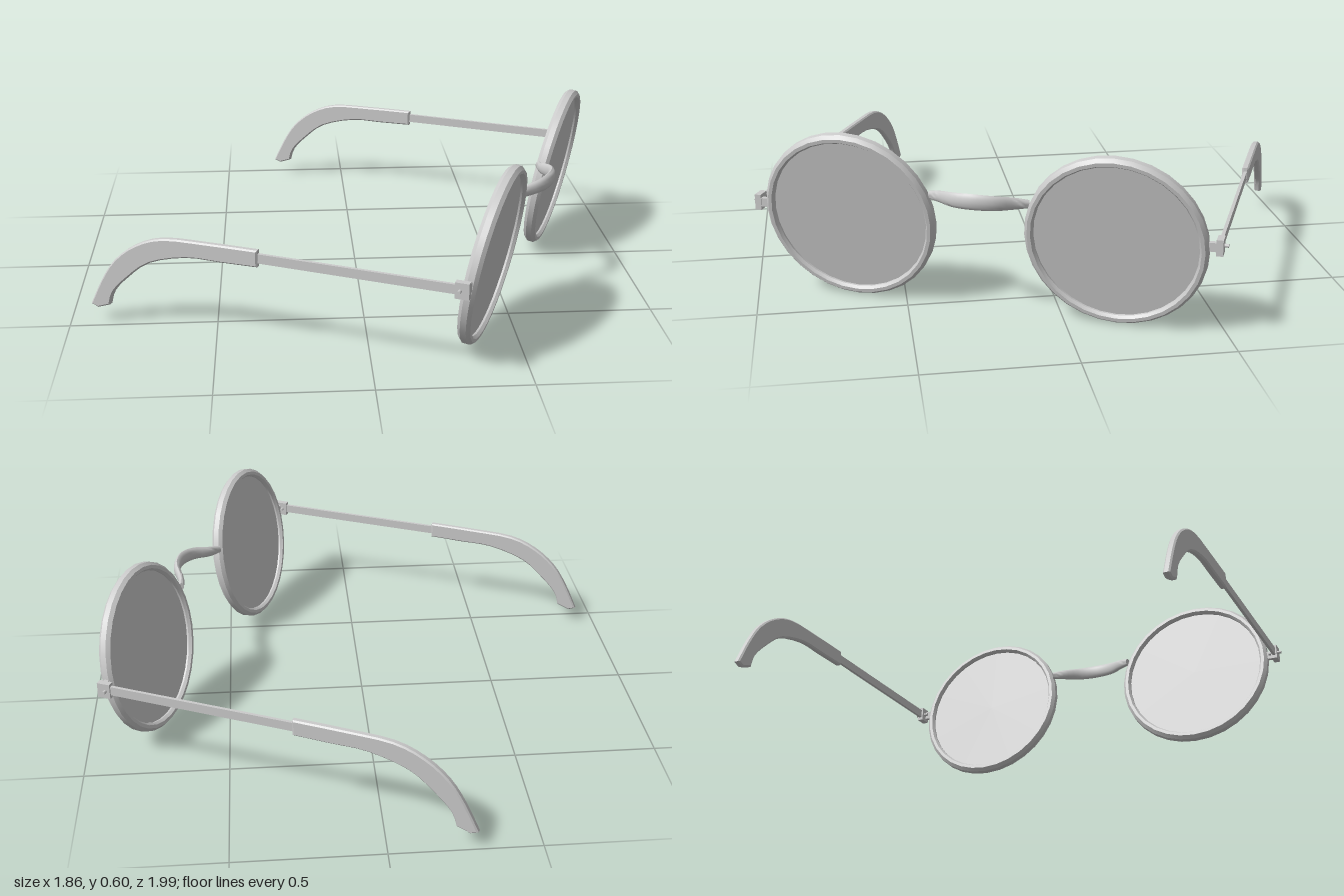
import * as THREE from 'three';
import { toCreasedNormals } from 'three/addons/utils/BufferGeometryUtils.js';

const material = new THREE.MeshStandardMaterial({ color: 0xcccccc });

function addMesh(parent, name, geometry, x = 0, y = 0, z = 0) {
  const mesh = new THREE.Mesh(geometry, material);
  mesh.name = name;
  mesh.position.set(x, y, z);
  parent.add(mesh);
  return mesh;
}

// Round bevelled rim with a thin lens set in it, leaning forward at the top
function createEye(side) {
  const eye = new THREE.Group();
  eye.name = side > 0 ? 'leftEyepiece' : 'rightEyepiece';
  const profile = [
    [0.274, -0.012], [0.281, -0.022], [0.293, -0.022], [0.304, -0.01],
    [0.304, 0.01], [0.293, 0.022], [0.281, 0.022], [0.274, 0.012], [0.274, -0.012],
  ].map(([r, h]) => new THREE.Vector2(r, h));
  const rim = new THREE.LatheGeometry(profile, 32).rotateX(Math.PI / 2);
  addMesh(eye, 'rim', toCreasedNormals(rim, 0.6));
  addMesh(eye, 'lens', new THREE.CylinderGeometry(0.277, 0.277, 0.01, 32).rotateX(Math.PI / 2));
  eye.position.set(side * 0.452, 0.307, 0.647);
  eye.rotation.x = 0.165;
  eye.scale.x = 0.985;
  return eye;
}

// Nose bridge: a flattened bar swept along a forward arch, widest in the middle
function createBridge() {
  const path = new THREE.CatmullRomCurve3([
    [-0.168, 0.408, 0.65], [-0.125, 0.413, 0.672], [-0.07, 0.423, 0.715], [0, 0.428, 0.732],
    [0.07, 0.423, 0.715], [0.125, 0.413, 0.672], [0.168, 0.408, 0.65],
  ].map((p) => new THREE.Vector3(...p)));
  const geometry = new THREE.CylinderGeometry(1, 1, 1, 12, 20);
  const pos = geometry.attributes.position;
  for (let i = 0; i < pos.count; i++) {
    const t = pos.getY(i) + 0.5;
    const c = path.getPoint(t);
    const d = path.getTangent(t);
    const swell = Math.sin(Math.PI * t);
    const a = pos.getX(i) * (0.01 + 0.003 * swell);
    const b = pos.getZ(i) * (0.014 + 0.013 * swell);
    pos.setXYZ(i, c.x - d.z * a, c.y + b, c.z + d.x * a);
  }
  return toCreasedNormals(geometry, 0.9);
}

// Curved ear sleeve: side outline in (z, y), extruded across its thickness
function createSleeve() {
  const upper = [[-0.04, 0.355], [-0.22, 0.353], [-0.38, 0.346], [-0.484, 0.307],
    [-0.564, 0.243], [-0.618, 0.163], [-0.666, 0.066]];
  const lower = [[-0.593, 0.073], [-0.575, 0.124], [-0.52, 0.183], [-0.432, 0.252],
    [-0.296, 0.291], [-0.17, 0.294], [-0.04, 0.297]];
  const smooth = (pts) => new THREE.SplineCurve(pts.map((p) => new THREE.Vector2(...p))).getPoints(18);
  const shape = new THREE.Shape([
    ...smooth(upper), new THREE.Vector2(-0.64, 0.056), ...smooth(lower),
  ]);
  const geometry = new THREE.ExtrudeGeometry(shape, {
    depth: 0.014, bevelEnabled: true, bevelThickness: 0.005, bevelSize: 0.005,
    bevelOffset: -0.005, bevelSegments: 1,
  });
  geometry.translate(0, 0, -0.007).rotateY(-Math.PI / 2);
  return toCreasedNormals(geometry, 0.5);
}

// Hinge, thin rod and ear sleeve of one side
function createTemple(side) {
  const temple = new THREE.Group();
  temple.name = side > 0 ? 'leftTemple' : 'rightTemple';
  const x = side * 0.783;
  addMesh(temple, 'hingeArm', new THREE.BoxGeometry(0.05, 0.03, 0.016), side * 0.764, 0.325, 0.65);
  addMesh(temple, 'hingeBlock', new THREE.BoxGeometry(0.022, 0.054, 0.046), x, 0.325, 0.638);
  addMesh(temple, 'hingeScrew',
    new THREE.CylinderGeometry(0.006, 0.006, 0.05, 10).rotateZ(Math.PI / 2), x, 0.325, 0.632);
  addMesh(temple, 'rod', new THREE.BoxGeometry(0.011, 0.032, 0.69), x, 0.326, 0.285);
  addMesh(temple, 'earSleeve', createSleeve(), x, 0, 0);
  return temple;
}

export function createModel() {
  const model = new THREE.Group();
  model.name = 'roundGlasses';

  // The spectacles sit turned toward the model's left
  const frame = new THREE.Group();
  frame.name = 'spectacles';
  frame.rotation.y = 1.153;
  model.add(frame);

  for (const side of [-1, 1]) frame.add(createEye(side), createTemple(side));
  addMesh(frame, 'noseBridge', createBridge());
  return model;
}
